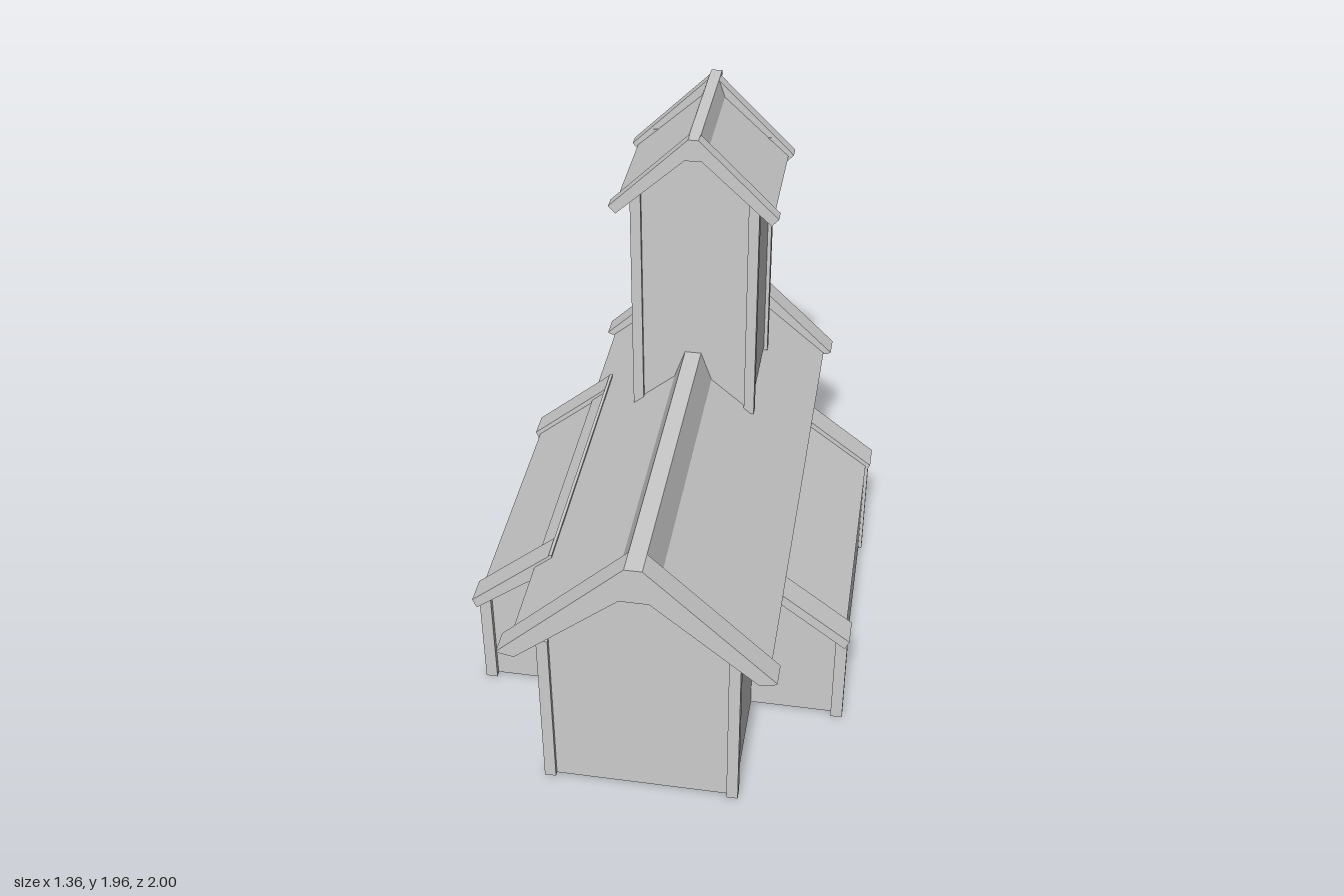
import * as THREE from 'three';

const material = new THREE.MeshStandardMaterial({ color: 0xcccccc, flatShading: true, side: THREE.DoubleSide });

function add(parent, name, geometry) {
  const mesh = new THREE.Mesh(geometry, material);
  mesh.name = name;
  parent.add(mesh);
  return mesh;
}

// Box given by its limits on each axis
function box(parent, name, x0, x1, y0, y1, z0, z1) {
  const mesh = add(parent, name, new THREE.BoxGeometry(x1 - x0, y1 - y0, z1 - z0));
  mesh.position.set((x0 + x1) / 2, (y0 + y1) / 2, (z0 + z1) / 2);
  return mesh;
}

const toShape = (pts) => new THREE.Shape(pts.map(([x, y]) => new THREE.Vector2(x, y)));
const mirror = (pts) => [...pts, ...pts.map(([x, y]) => [-x, y]).reverse()];

// Profile in the x-y plane, extruded from z0 to z1
function slab(parent, name, pts, z0, z1, hole) {
  const shape = toShape(pts);
  if (hole) shape.holes.push(toShape(hole));
  const geometry = new THREE.ExtrudeGeometry(shape, { depth: z1 - z0, bevelEnabled: false });
  geometry.translate(0, 0, z0);
  return add(parent, name, geometry);
}

// Symmetric roof section: upper line out to the eave, lower line back to the middle
function chevron(upper, lower) {
  const half = [...upper, ...lower];
  const left = (pts) => pts.map(([x, y]) => [-x, y]).reverse();
  return [...left(upper), ...half, ...left(lower)];
}

// Raised arch-headed frame with an inner panel, facing -z
function archedFrame(parent, name, width, y0, y1, z) {
  const arch = (w, b, t) => mirror([[w, b], [w * 1.04, b + (t - b) * 0.58], [w * 0.42, t - 0.015], [w * 0.3, t]]);
  const w = width / 2;
  slab(parent, name + 'Frame', arch(w, y0, y1), z - 0.022, z, arch(w - 0.025, y0 + 0.025, y1 - 0.025));
  slab(parent, name + 'Panel', arch(w - 0.02, y0 + 0.02, y1 - 0.02), z - 0.008, z);
}

function buildNave(root) {
  const nave = new THREE.Group();
  nave.name = 'nave';
  root.add(nave);

  // Hollow walls, open below
  const gable = mirror([[0.33, 0], [0.33, 0.68], [0.05, 0.925]]);
  slab(nave, 'frontWall', gable, 0.915, 0.938);
  slab(nave, 'backWall', gable, -0.925, -0.902);
  for (const s of [-1, 1]) {
    const x = s * 0.32;
    box(nave, 'sideWall', x - 0.012, x + 0.012, 0, 0.69, -0.92, 0.93);
    for (const z of [0.935, -0.925]) {
      const px = s * 0.325;
      box(nave, 'cornerPost', px - 0.02, px + 0.02, 0, 0.66, z - 0.02, z + 0.02);
    }
  }

  // Roof panels, ridge and raised verge boards
  const panel = chevron([[0.07, 0.945], [0.44, 0.63]], [[0.42, 0.617], [0.05, 0.92]]);
  slab(nave, 'roofPanels', panel, -0.92, 0.92);
  slab(nave, 'ridgeBeam', mirror([[0.075, 0.93], [0.07, 0.945], [0.03, 1.06]]), -0.92, 0.92);
  const verge = chevron([[0.03, 1.06], [0.47, 0.635], [0.46, 0.628]], [[0.41, 0.618], [0.05, 0.923]]);
  slab(nave, 'frontVerge', verge, 0.915, 1);
  slab(nave, 'backVerge', verge, -0.995, -0.91);

  // Back gable beam and doorway
  box(nave, 'tieBeam', -0.35, 0.35, 0.6, 0.655, -0.955, -0.92);
  archedFrame(nave, 'door', 0.22, 0, 0.32, -0.925);
}

function buildWing(root, side, name, topY) {
  const wing = new THREE.Group();
  wing.name = name;
  wing.scale.x = side;
  root.add(wing);

  slab(wing, 'wingWalls', [[0.325, 0.005], [0.66, 0.005], [0.66, 0.425], [0.39, 0.63], [0.325, 0.63]], -0.455, 0.495);
  for (const z of [0.495, -0.455]) {
    box(wing, 'wingPost', 0.63, 0.672, 0, 0.425, z - 0.02, z + 0.02);
  }
  const verge = [[0.38, topY], [0.68, 0.44], [0.665, 0.405], [0.38, 0.625]];
  slab(wing, 'frontWingVerge', verge, 0.472, 0.572);
  slab(wing, 'backWingVerge', verge, -0.532, -0.432);
  slab(wing, 'wingRoofPanel', [[0.38, topY - 0.025], [0.662, 0.434], [0.655, 0.42], [0.38, 0.625]], -0.44, 0.48);
  box(wing, 'wingTopRail', 0.375, 0.386, 0.625, topY, -0.532, 0.572);
}

function buildTower(root) {
  const tower = new THREE.Group();
  tower.name = 'tower';
  tower.position.x = 0.005;
  root.add(tower);

  slab(tower, 'towerWalls', mirror([[0.215, 0.83], [0.215, 1.715], [0.03, 1.885]]), -0.65, -0.215);
  for (const x of [-0.21, 0.21]) {
    for (const z of [-0.218, -0.645]) {
      box(tower, 'towerPost', x - 0.019, x + 0.019, 0.815, 1.72, z - 0.019, z + 0.019);
      box(tower, 'roofPeg', x - 0.01, x + 0.01, 1.71, 1.745, z - 0.008, z + 0.008);
    }
  }

  // Tower roof
  const panel = chevron([[0.03, 1.905], [0.28, 1.675]], [[0.272, 1.665], [0.025, 1.88]]);
  slab(tower, 'towerRoofPanels', panel, -0.65, -0.205);
  slab(tower, 'towerRidge', mirror([[0.045, 1.885], [0.02, 1.96]]), -0.65, -0.205);
  const verge = chevron([[0.018, 1.96], [0.3, 1.68]], [[0.275, 1.652], [0.2, 1.722], [0.03, 1.88]]);
  slab(tower, 'frontTowerVerge', verge, -0.215, -0.168);
  slab(tower, 'backTowerVerge', verge, -0.685, -0.64);

  // Back gable details
  box(tower, 'towerTieBeam', -0.22, 0.22, 1.69, 1.73, -0.677, -0.645);
  box(tower, 'kingPost', -0.02, 0.02, 1.84, 1.96, -0.72, -0.645);
  archedFrame(tower, 'window', 0.23, 1.25, 1.59, -0.65);
}

// Flat-sided cross on the back gable
function buildCross(root) {
  const cross = new THREE.Group();
  cross.name = 'cross';
  root.add(cross);
  box(cross, 'crossUpright', -0.012, 0.018, 1.03, 1.49, -0.99, -0.912);
  box(cross, 'crossArm', -0.095, 0.1, 1.335, 1.36, -0.996, -0.908);
}

export function createModel() {
  const root = new THREE.Group();
  root.name = 'chapel';
  buildNave(root);
  buildWing(root, 1, 'leftWing', 0.67);
  buildWing(root, -1, 'rightWing', 0.695);
  buildTower(root);
  buildCross(root);
  return root;
}
